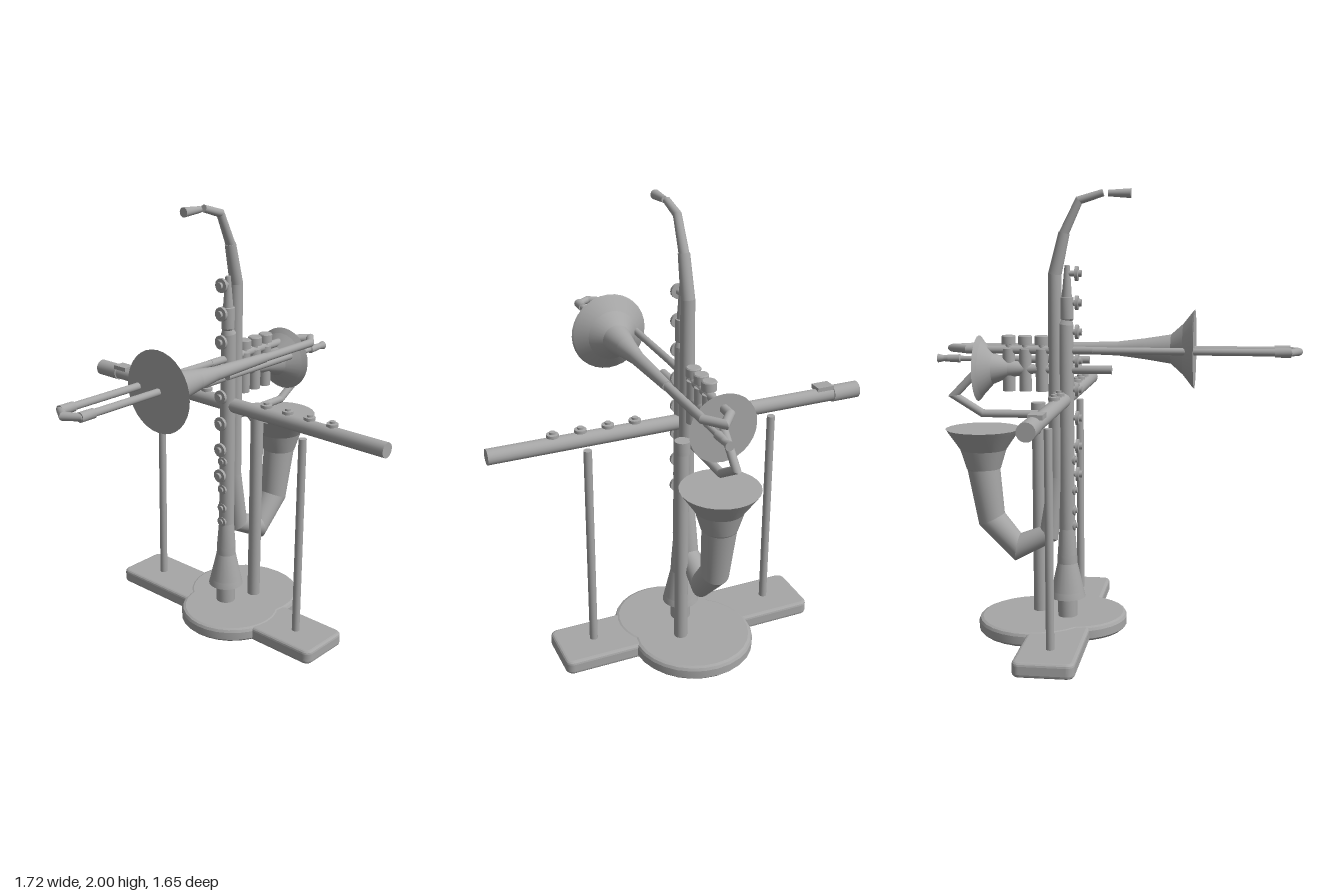
import * as THREE from 'three';

const grey = new THREE.MeshStandardMaterial({ color: 0xa6a6a6, side: THREE.DoubleSide });
grey.name = 'plain grey';

// Round pipe through [x, y, z, radius] stations: mitred bends, smooth around, sharp along.
function pipeGeometry(stations, sides = 20, openStart = false) {
  const pts = stations.map(s => new THREE.Vector3(s[0], s[1], s[2]));
  const last = pts.length - 1;
  const dirs = pts.slice(1).map((p, i) => p.clone().sub(pts[i]).normalize());
  const normal = new THREE.Vector3();
  for (let i = 1; i < dirs.length && normal.lengthSq() < 1e-6; i++) normal.crossVectors(dirs[0], dirs[i]);
  if (normal.lengthSq() < 1e-6) {
    const d = dirs[0];
    normal.crossVectors(d, Math.abs(d.x) > 0.8 ? new THREE.Vector3(0, 1, 0) : new THREE.Vector3(1, 0, 0));
  }
  normal.normalize();

  const rings = pts.map((p, i) => {
    const a = dirs[Math.max(i - 1, 0)], b = dirs[Math.min(i, last - 1)];
    const t = a.clone().add(b).normalize();
    const u = new THREE.Vector3().crossVectors(normal, t).divideScalar(t.dot(a));
    const r = stations[i][3];
    return Array.from({ length: sides }, (_, j) => {
      const ang = j / sides * Math.PI * 2;
      return p.clone().addScaledVector(u, r * Math.cos(ang)).addScaledVector(normal, r * Math.sin(ang));
    });
  });

  const pos = [], idx = [];
  const push = list => {
    const start = pos.length / 3;
    list.forEach(v => pos.push(v.x, v.y, v.z));
    return start;
  };
  for (let i = 0; i < last; i++) {
    const a = push(rings[i]), b = push(rings[i + 1]);
    for (let j = 0; j < sides; j++) {
      const k = (j + 1) % sides;
      idx.push(a + j, a + k, b + j, a + k, b + k, b + j);
    }
  }
  const cap = (i, flip) => {
    const c = push([pts[i]]), a = push(rings[i]);
    for (let j = 0; j < sides; j++) {
      const k = (j + 1) % sides;
      idx.push(c, a + (flip ? k : j), a + (flip ? j : k));
    }
  };
  if (!openStart) cap(0, true);
  cap(last, false);

  const g = new THREE.BufferGeometry();
  g.setAttribute('position', new THREE.Float32BufferAttribute(pos, 3));
  g.setIndex(idx);
  g.computeVertexNormals();
  return g;
}

function roundedRect(w, d, r) {
  const s = new THREE.Shape(), x = w / 2, y = d / 2;
  s.absarc(x - r, y - r, r, 0, Math.PI / 2);
  s.absarc(-x + r, y - r, r, Math.PI / 2, Math.PI);
  s.absarc(-x + r, -y + r, r, Math.PI, Math.PI * 1.5);
  s.absarc(x - r, -y + r, r, Math.PI * 1.5, Math.PI * 2);
  return s;
}

export function createModel() {
  const model = new THREE.Group();
  model.name = 'instrumentSculpture';
  const group = name => {
    const g = new THREE.Group();
    g.name = name;
    model.add(g);
    return g;
  };
  const add = (parent, name, geometry) => {
    const m = new THREE.Mesh(geometry, grey);
    m.name = name;
    parent.add(m);
    return m;
  };
  const pipe = (parent, name, stations, sides, open) => add(parent, name, pipeGeometry(stations, sides, open));

  // Hollow base: a rounded slab and two overlapping discs, open underneath
  const base = group('base');
  const rim = roundedRect(1.2, 0.265, 0.035);
  rim.holes.push(roundedRect(1.12, 0.185, 0.02));
  const bevel = { bevelThickness: 0.015, bevelSize: 0.015, bevelOffset: -0.015, bevelSegments: 3, curveSegments: 6 };
  add(base, 'slabRim', new THREE.ExtrudeGeometry(rim, { depth: 0.036, ...bevel })
    .rotateX(-Math.PI / 2).translate(0, 0.015, -0.23));
  add(base, 'slabTop', new THREE.ShapeGeometry(roundedRect(1.17, 0.235, 0.025))
    .rotateX(-Math.PI / 2).translate(0, 0.066, -0.23));
  for (const [name, x, z, r] of [['backDisc', 0, -0.36, 0.27], ['frontDisc', 0.06, -0.19, 0.237]]) {
    pipe(base, name, [[x, 0, z, r - 0.035], [x, 0.004, z, r - 0.012], [x, 0.016, z, r], [x, 0.052, z, r],
      [x, 0.064, z, r - 0.006], [x, 0.069, z, r - 0.018]], 28, true);
  }

  // Support posts
  const supports = group('supports');
  for (const x of [-0.43, 0.43]) pipe(supports, 'sidePost', [[x, 0.03, -0.225, 0.018], [x, 1.015, -0.225, 0.018]]);
  pipe(supports, 'backPost', [[0.06, 0.03, -0.36, 0.03], [0.06, 0.99, -0.36, 0.03],
    [0.06, 0.992, -0.36, 0.034], [0.06, 1.05, -0.36, 0.034]]);
  pipe(supports, 'centrePeg', [[0, 0.03, -0.22, 0.045], [0, 0.17, -0.22, 0.045]]);

  // Flute
  const flute = group('flute');
  pipe(flute, 'fluteTube', [[-0.73, 1.073, -0.23, 0.033], [0.858, 1.073, -0.23, 0.034]]);
  pipe(flute, 'fluteHead', [[-0.86, 1.073, -0.23, 0.038], [-0.73, 1.073, -0.23, 0.038]]);
  add(flute, 'lipPlate', new THREE.BoxGeometry(0.08, 0.02, 0.06).translate(-0.69, 1.108, -0.22));
  for (const x of [-0.26, -0.14, 0.22, 0.34, 0.46, 0.58]) {
    pipe(flute, 'fluteKey', [[x, 1.09, -0.23, 0.015], [x, 1.108, -0.23, 0.015], [x, 1.109, -0.23, 0.026],
      [x, 1.122, -0.23, 0.026], [x, 1.123, -0.23, 0.013], [x, 1.132, -0.23, 0.013]], 16);
  }

  // Clarinet with front keys
  const clarinet = group('clarinet');
  pipe(clarinet, 'clarinetBody', [[0, 0.16, -0.22, 0.082], [0, 0.19, -0.22, 0.075], [0, 0.32, -0.22, 0.046],
    [0, 0.36, -0.22, 0.045], [0, 0.48, -0.22, 0.036], [0, 1.41, -0.22, 0.034], [0, 1.43, -0.215, 0.025],
    [0, 1.435, -0.215, 0.03], [0, 1.53, -0.215, 0.03], [0, 1.532, -0.215, 0.023], [0, 1.67, -0.212, 0.012]]);
  for (let i = 0; i < 8; i++) {
    const y = 0.735 + i * 0.1285;
    pipe(clarinet, 'largeKey', [[0, y, -0.22, 0.013], [0, y, -0.178, 0.013], [0, y, -0.177, 0.032],
      [0, y, -0.163, 0.032], [0, y, -0.162, 0.016], [0, y, -0.149, 0.016]], 16);
  }
  for (const y of [0.495, 0.565, 0.66, 0.8]) {
    pipe(clarinet, 'smallKey', [[0, y, -0.22, 0.024], [0, y, -0.182, 0.024], [0, y, -0.181, 0.013],
      [0, y, -0.172, 0.013]], 16);
  }

  // Saxophone
  const sax = group('saxophone');
  pipe(sax, 'saxBody', [[0, 1.81, -0.225, 0.025], [0, 1.63, -0.268, 0.03], [0, 0.72, -0.268, 0.035],
    [0, 0.455, -0.303, 0.044], [0, 0.385, -0.45, 0.053], [0, 0.515, -0.57, 0.062], [0, 0.75, -0.604, 0.074],
    [0, 0.752, -0.604, 0.078], [0, 0.84, -0.604, 0.105], [0, 0.92, -0.604, 0.16], [0, 0.935, -0.604, 0.17]], 24);
  pipe(sax, 'saxNeck', [[0, 1.8, -0.23, 0.022], [0, 1.95, -0.158, 0.018], [0, 1.982, -0.052, 0.016]]);
  pipe(sax, 'saxMouthpiece', [[0, 1.98, -0.03, 0.014], [0, 1.979, 0.07, 0.021]]);

  // Trombone
  const trombone = group('trombone');
  const ty = 1.295, tx = 0.117;
  pipe(trombone, 'tromboneBell', [[tx, ty, -0.335, 0.022], [tx, ty, 0, 0.032], [tx, ty, 0.12, 0.047],
    [tx, ty, 0.24, 0.066], [tx, ty, 0.295, 0.115], [tx, ty, 0.34, 0.172], [tx, ty, 0.346, 0.178]], 32);
  pipe(trombone, 'rearBow', [[tx, ty, -0.3, 0.019], [tx, ty, -0.67, 0.019], [tx / 2, ty, -0.745, 0.019],
    [0, ty, -0.67, 0.019], [0, ty, -0.1, 0.017]]);
  pipe(trombone, 'slide', [[0, ty, -0.2, 0.016], [0, ty, 0.765, 0.016], [tx / 2, ty, 0.802, 0.018],
    [tx, ty, 0.765, 0.016], [tx, ty, 0.3, 0.016]]);
  for (const x of [0, tx]) pipe(trombone, 'slideSleeve', [[x, ty, 0.7, 0.021], [x, ty, 0.77, 0.021]]);

  // Trumpet, bell facing back
  const trumpet = group('trumpet');
  pipe(trumpet, 'trumpetBell', [[0, 1.21, -0.015, 0.019], [0, 1.21, -0.36, 0.02], [0, 1.21, -0.48, 0.04],
    [0, 1.21, -0.55, 0.07], [0, 1.21, -0.6, 0.125], [0, 1.21, -0.617, 0.148]], 28);
  pipe(trumpet, 'leadPipe', [[0.077, 1.245, -0.125, 0.017], [0.077, 1.245, -0.57, 0.017],
    [0.077, 1.245, -0.572, 0.012], [0.077, 1.245, -0.72, 0.012], [0.077, 1.245, -0.725, 0.019],
    [0.077, 1.245, -0.78, 0.016], [0.077, 1.245, -0.8, 0.014], [0.077, 1.245, -0.828, 0.02]]);
  pipe(trumpet, 'tuningBow', [[0, 1.005, -0.27, 0.018], [0, 1.005, -0.605, 0.018],
    [0, 1.085, -0.735, 0.018], [0, 1.215, -0.61, 0.018]]);
  for (const z of [-0.33, -0.405, -0.48]) {
    pipe(trumpet, 'valve', [[0, 1.11, z, 0.028], [0, 1.3, z, 0.028], [0, 1.302, z, 0.014], [0, 1.318, z, 0.014],
      [0, 1.32, z, 0.032], [0, 1.355, z, 0.032], [0, 1.36, z, 0.028]]);
  }

  return model;
}
